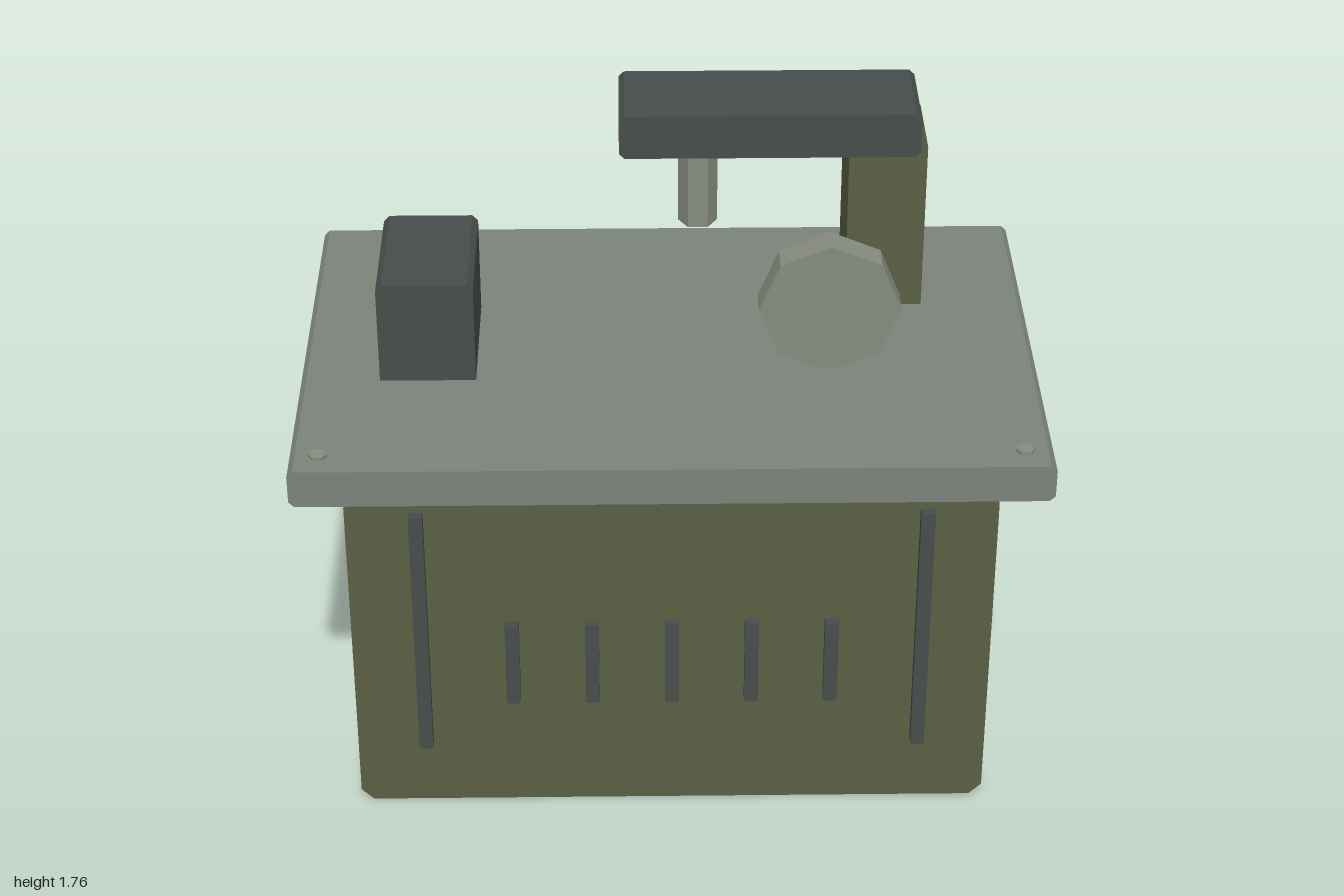
import * as THREE from 'three';

const material = (color) => new THREE.MeshStandardMaterial({ color, flatShading: true });

// Block with its four long edges chamfered, running along z
function chamferedBlock(x0, x1, y0, y1, z0, z1, c) {
  const s = new THREE.Shape();
  s.moveTo(x0 + c, y0);
  s.lineTo(x1 - c, y0);
  s.lineTo(x1, y0 + c);
  s.lineTo(x1, y1 - c);
  s.lineTo(x1 - c, y1);
  s.lineTo(x0 + c, y1);
  s.lineTo(x0, y1 - c);
  s.lineTo(x0, y0 + c);
  s.closePath();
  return new THREE.ExtrudeGeometry(s, { depth: z1 - z0, bevelEnabled: false }).translate(0, 0, z0);
}

// Upright hexagonal bar with corners pointing along x
function hexBar(r, x, y0, y1, z) {
  return new THREE.CylinderGeometry(r, r, y1 - y0, 6)
    .rotateY(Math.PI / 6).translate(x, (y0 + y1) / 2, z);
}

export function createModel() {
  const group = new THREE.Group();
  const olive = material(0x5a5f43);
  const steel = material(0x7a837b);
  const dark = material(0x454d4b);
  const bright = material(0x868c7e);
  const add = (name, geometry, mat) => {
    const mesh = new THREE.Mesh(geometry, mat);
    mesh.name = name;
    group.add(mesh);
  };

  // Cabinet and the worktop floating just above it
  add('cabinet', chamferedBlock(-0.87, 0.87, 0, 1.015, -0.54, 0.54, 0.034), olive);
  add('worktop', chamferedBlock(-1, 1, 1.06, 1.167, -0.65, 0.65, 0.015), steel);

  // Front trim strips and vent slats
  for (const side of [-1, 1]) {
    add('trimStrip', chamferedBlock(side * 0.68 - 0.019, side * 0.68 + 0.019, 0.2, 0.967, 0.53, 0.57, 0.004), dark);
  }
  for (let i = -2; i <= 2; i++) {
    const x = i * 0.217;
    add('ventSlat', chamferedBlock(x - 0.019, x + 0.019, 0.35, 0.61, 0.53, 0.565, 0.004), dark);
  }

  // Control box, sunk slightly into the worktop
  add('controlBox', chamferedBlock(-0.785, -0.525, 1.14, 1.46, -0.197, 0.197, 0.016), dark);

  // Column, overhead arm and spindle
  add('column', chamferedBlock(0.497, 0.712, 1.14, 1.68, -0.456, -0.196, 0.018), olive);
  add('arm', chamferedBlock(-0.134, 0.692, 1.637, 1.765, -0.468, -0.186, 0.015), dark);
  add('spindle', hexBar(0.055, 0.085, 1.373, 1.65, -0.326), bright);

  // Octagonal wheel standing on the worktop
  add('wheel', new THREE.CylinderGeometry(0.193, 0.193, 0.085, 8)
    .rotateX(Math.PI / 2).translate(0.432, 1.353, 0.112), bright);

  // Bolts at the front corners
  for (const side of [-1, 1]) {
    add('bolt', hexBar(0.025, side * 0.924, 1.15, 1.176, 0.573), bright);
  }
  return group;
}
